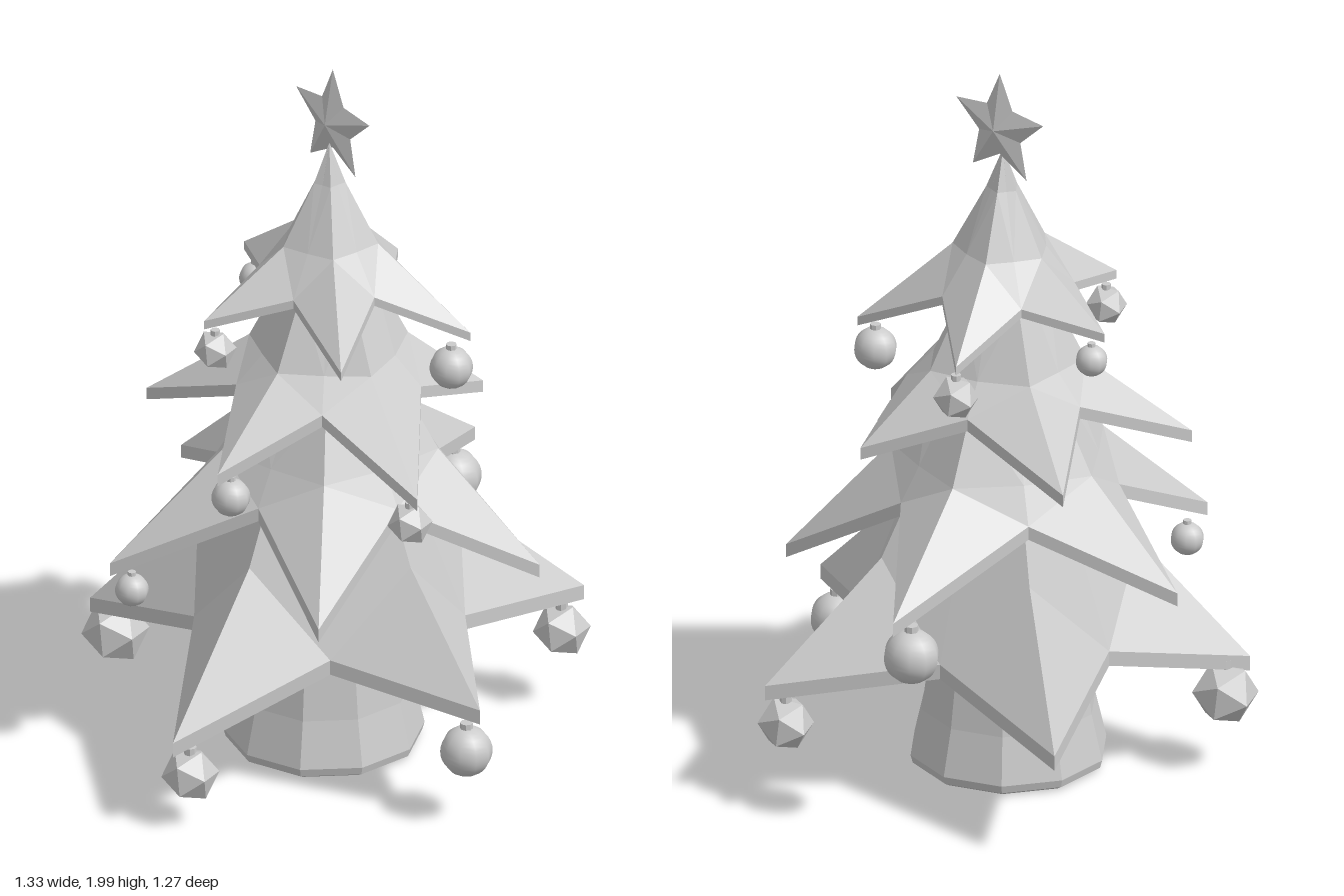
import * as THREE from 'three';

const CX = 0.015, CZ = -0.045; // tree axis
const material = new THREE.MeshStandardMaterial({ color: 0xcccccc, flatShading: true });
const openMaterial = new THREE.MeshStandardMaterial({ color: 0xcccccc, flatShading: true, side: THREE.DoubleSide });
const smooth = new THREE.MeshStandardMaterial({ color: 0xcccccc });

function add(parent, name, geometry, mat = material) {
  const mesh = new THREE.Mesh(geometry, mat);
  mesh.name = name;
  parent.add(mesh);
  return mesh;
}

// Tips are [x, y, z] in order around the axis; valley, mid and top are [radius, y]; peak is the apex height.
const TIERS = [
  { tips: [[0.66, 0.355, 0.24], [-0.025, 0.36, 0.62], [-0.67, 0.28, 0.12], [-0.355, 0.33, -0.59], [0.455, 0.32, -0.59]],
    valley: [0.38, 0.43], mid: [0.36, 0.66], top: [0.24, 0.9], peak: 0.92, edge: 0.042 },
  { tips: [[0.34, 0.6, 0.435], [-0.4, 0.64, 0.4], [-0.55, 0.62, -0.28], [0, 0.65, -0.635], [0.65, 0.66, -0.195]],
    valley: [0.31, 0.815], mid: [0.3, 0.91], top: [0.19, 1.1], peak: 1.12, edge: 0.038 },
  { tips: [[0.415, 1.0, 0.115], [-0.065, 0.92, 0.41], [-0.45, 0.98, 0.045], [-0.27, 0.98, -0.46], [0.27, 0.98, -0.465]],
    valley: [0.26, 1.1], mid: [0.22, 1.18], top: [0.12, 1.38], peak: 1.42, edge: 0.034 },
  { tips: [[0.23, 1.27, 0.28], [-0.22, 1.3, 0.28], [-0.34, 1.33, -0.14], [0.02, 1.345, -0.4], [0.36, 1.3, -0.17]],
    valley: [0.19, 1.395], mid: [0.135, 1.5], top: [0.045, 1.67], peak: 1.78, edge: 0.025 },
];

// A drooping five-pointed skirt: cross-section rings joined from the underside, round the rim, to the top
function tierGeometry({ tips, valley, mid, top, peak, edge }) {
  const angles = [], outline = [];
  tips.forEach((tip, i) => {
    const next = tips[(i + 1) % tips.length];
    const a = Math.atan2(tip[2] - CZ, tip[0] - CX);
    let b = Math.atan2(next[2] - CZ, next[0] - CX);
    if (b < a) b += Math.PI * 2;
    const m = (a + b) / 2;
    angles.push(a, m);
    outline.push(tip, [CX + valley[0] * Math.cos(m), valley[1], CZ + valley[0] * Math.sin(m)]);
  });
  const ring = (tipR, valleyR, y) => angles.map((a, i) => {
    const r = i % 2 ? valleyR : tipR;
    return [CX + r * Math.cos(a), y, CZ + r * Math.sin(a)];
  });
  // Valley creases run nearly straight from the rim to the top ring
  const topValley = top[0] * 0.8;
  const t = (mid[1] - valley[1]) / (top[1] - valley[1]);
  const midValley = Math.min(THREE.MathUtils.lerp(valley[0], topValley, t), mid[0] * 0.85);
  const rings = [
    ring(0.001, 0.001, mid[1] - 0.05),
    ring(mid[0] * 0.9, midValley * 0.9, mid[1] - 0.05),
    outline.map(([x, y, z]) => [x, y - edge, z]),
    outline,
    ring(mid[0], midValley, mid[1]),
    ring(top[0], topValley, top[1]),
    ring(0.001, 0.001, peak),
  ];
  const positions = [];
  for (let k = 0; k < rings.length - 1; k++) {
    for (let i = 0; i < angles.length; i++) {
      const j = (i + 1) % angles.length;
      const a = rings[k][i], b = rings[k][j], c = rings[k + 1][j], d = rings[k + 1][i];
      // Split every quad so that the creases stay symmetrical about each tip
      const useAC = (i % 2 === 1) === (k >= 3);
      const tris = useAC ? [a, d, c, a, c, b] : [a, d, b, d, c, b];
      positions.push(...tris.flat());
    }
  }
  const geometry = new THREE.BufferGeometry();
  geometry.setAttribute('position', new THREE.Float32BufferAttribute(positions, 3));
  geometry.computeVertexNormals();
  return geometry;
}

// Five-pointed star with a raised centre on both faces, standing in the yz plane
function starGeometry(outer, inner, depth) {
  const positions = [];
  const point = (i) => {
    const r = i % 2 ? inner : outer, a = (i * Math.PI) / 5;
    return [0, r * Math.cos(a), r * Math.sin(a)];
  };
  for (let i = 0; i < 10; i++) {
    positions.push(depth, 0, 0, ...point(i), ...point(i + 1));
    positions.push(-depth, 0, 0, ...point(i + 1), ...point(i));
  }
  const geometry = new THREE.BufferGeometry();
  geometry.setAttribute('position', new THREE.Float32BufferAttribute(positions, 3));
  geometry.computeVertexNormals();
  return geometry;
}

function ornament(name, [x, y, z, r], faceted) {
  const group = new THREE.Group();
  group.name = name;
  const body = faceted
    ? new THREE.IcosahedronGeometry(r * 1.14, 0).rotateY(Math.PI / 4).rotateZ(-0.6155)
    : new THREE.SphereGeometry(r, 10, 16);
  add(group, 'bauble', body, faceted ? material : smooth);
  const cap = new THREE.CylinderGeometry(r * 0.25, r * 0.25, r * 0.3, 8);
  add(group, 'cap', cap).position.y = r * 1.05;
  group.position.set(x, y, z);
  return group;
}

export function createModel() {
  const tree = new THREE.Group();
  tree.name = 'decoratedTree';

  // Flared hollow trunk with a rim turned under at the foot
  const profile = [[0.245, 0.008], [0.262, 0.018], [0.268, 0.04], [0.238, 0.17], [0.212, 0.36], [0.19, 0.62]]
    .map(([r, y]) => new THREE.Vector2(r, y));
  const trunk = new THREE.LatheGeometry(profile, 10).rotateY(Math.PI / 10);
  add(tree, 'trunk', trunk, openMaterial).position.set(0.005, 0, -0.055);

  // Branch tiers, bottom to top
  TIERS.forEach((tier, i) => add(tree, `branchTier${i + 1}`, tierGeometry(tier)));

  // Star on the tip
  add(tree, 'star', starGeometry(0.158, 0.075, 0.028)).position.set(0.023, 1.842, -0.04);

  // Round and faceted ornaments, [x, y, z, radius]
  [[-0.027, 0.22, 0.567, 0.07], [0.575, 0.54, -0.195, 0.075], [-0.4, 0.895, 0.04, 0.052],
    [0.185, 1.172, 0.255, 0.058], [-0.49, 0.53, -0.26, 0.045], [0.02, 1.255, -0.355, 0.043],
  ].forEach((p) => tree.add(ornament('roundOrnament', p, false)));
  [[-0.592, 0.155, 0.1, 0.068], [-0.303, 0.232, -0.548, 0.08], [0.602, 0.235, 0.217, 0.068],
    [-0.065, 0.838, 0.38, 0.053], [0.33, 1.195, -0.145, 0.055], [-0.31, 1.238, -0.13, 0.05],
  ].forEach((p) => tree.add(ornament('facetedOrnament', p, true)));

  return tree;
}
